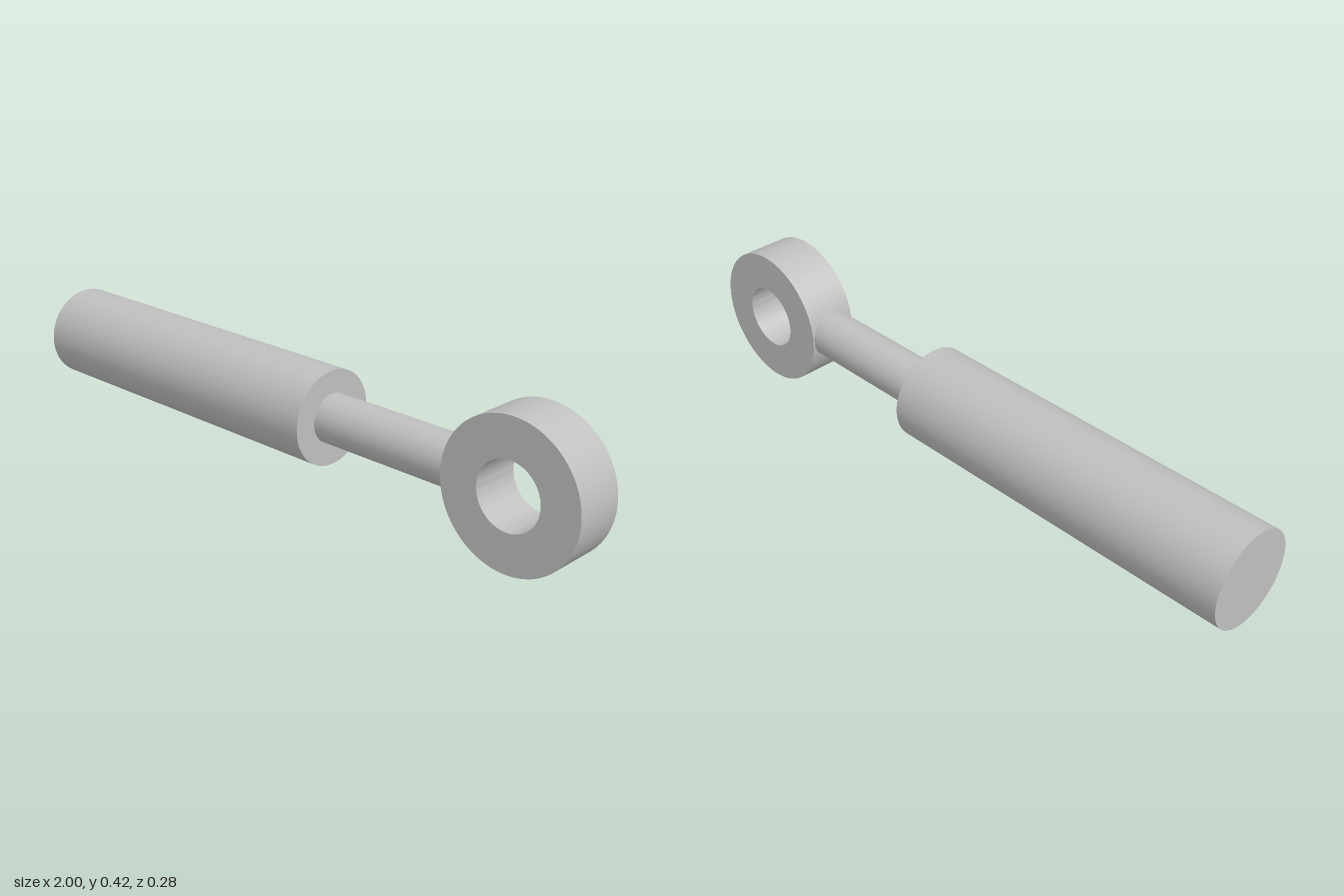
import * as THREE from 'three';
import { toCreasedNormals } from 'three/addons/utils/BufferGeometryUtils.js';

const AXIS_Y = 0.212;

export function createModel() {
  const model = new THREE.Group();
  model.name = 'rodEndActuator';

  const steel = new THREE.MeshStandardMaterial({ color: 0xbfbfbf });
  steel.name = 'steel grey';

  // Round bar lying along x
  const addBar = (name, radius, x0, x1) => {
    const geometry = new THREE.CylinderGeometry(radius, radius, x1 - x0, 64);
    geometry.rotateZ(-Math.PI / 2);
    const bar = new THREE.Mesh(geometry, steel);
    bar.name = name;
    bar.position.set((x0 + x1) / 2, AXIS_Y, 0);
    model.add(bar);
  };

  addBar('cylinderBody', 0.141, -1, 0.125);
  addBar('pistonRod', 0.073, 0.125, 0.62); // end is sunk into the eye

  // Eye: thick ring with a through hole along z
  const outline = new THREE.Shape().absarc(0, 0, 0.212, 0, Math.PI * 2, false);
  outline.holes.push(new THREE.Path().absarc(0, 0, 0.097, 0, Math.PI * 2, true));
  const depth = 0.155;
  const ring = new THREE.ExtrudeGeometry(outline, { depth, bevelEnabled: false, curveSegments: 64 });
  ring.translate(0, 0, -depth / 2);
  const eye = new THREE.Mesh(toCreasedNormals(ring, Math.PI / 6), steel);
  eye.name = 'mountingEye';
  eye.position.set(0.788, AXIS_Y, 0);
  model.add(eye);

  return model;
}
